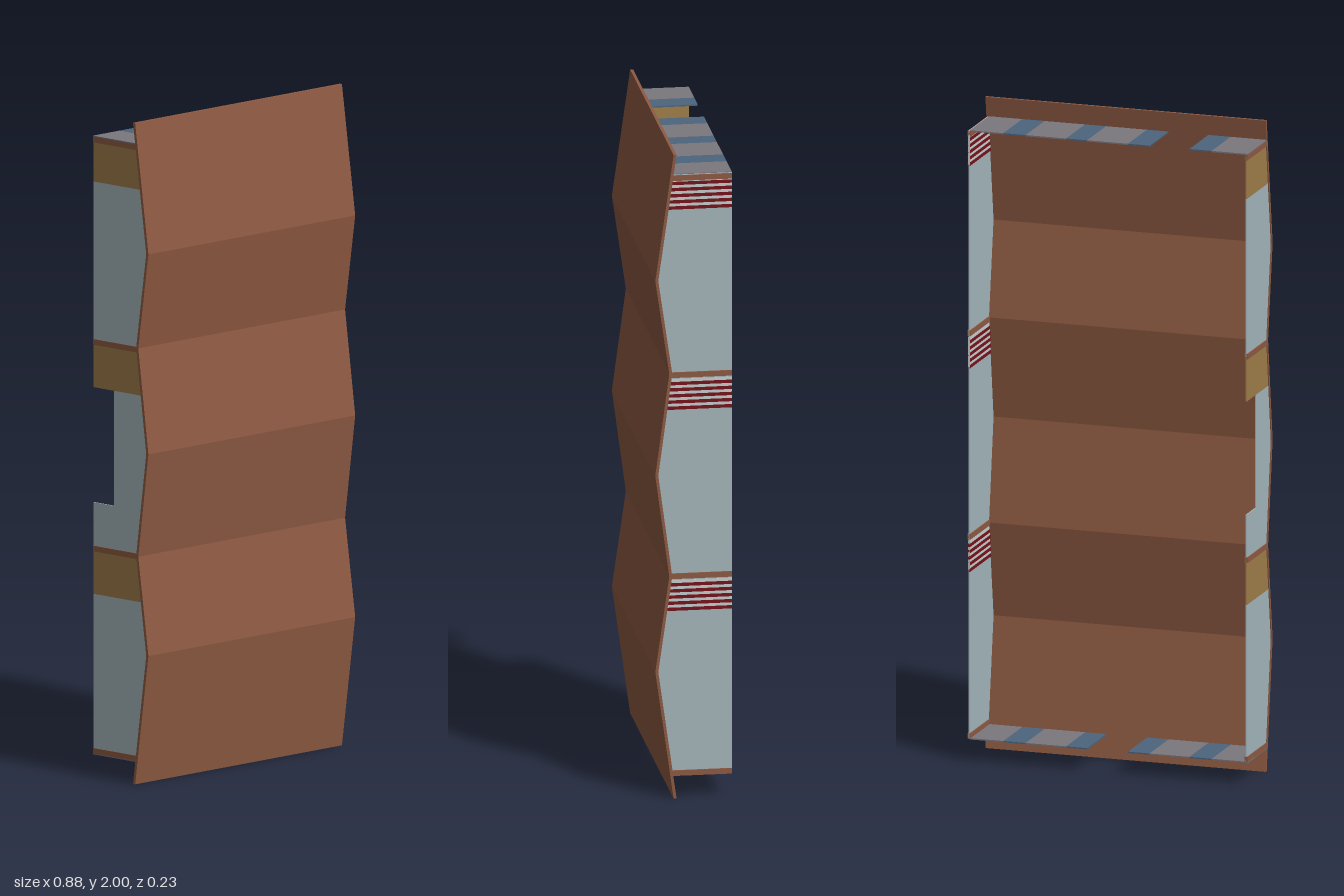
import * as THREE from 'three';

const mat = (name, color, extra = {}) => {
  const m = new THREE.MeshStandardMaterial({ color, ...extra });
  m.name = name;
  return m;
};

// Folded front sheet: [y, z] of its outer face
const FOLDS = [[0, 0.06], [0.395, 0.115], [0.69, 0.073], [1.005, 0.115], [1.32, 0.073], [1.61, 0.115], [2, 0.06]];
const SHEET = 0.009;
const BACK = -0.116;
const HALF = 0.44;
const LEVELS = [0.07, 0.69, 1.315, 1.937]; // ledge heights between the tiers

function sheetZ(y) {
  for (let i = 1; i < FOLDS.length; i++) {
    const [y0, z0] = FOLDS[i - 1], [y1, z1] = FOLDS[i];
    if (y <= y1) return z0 + (z1 - z0) * (y - y0) / (y1 - y0);
  }
  return FOLDS[FOLDS.length - 1][1];
}

// Extrudes a (z, y) outline across x, centred on x
function extrudeAcross(points, x, width) {
  const shape = new THREE.Shape(points.map(([z, y]) => new THREE.Vector2(z, y)));
  const geo = new THREE.ExtrudeGeometry(shape, { depth: width, bevelEnabled: false });
  geo.rotateY(-Math.PI / 2);
  geo.translate(x + width / 2, 0, 0);
  return geo;
}

// Upright plate from zBack to the inside of the folded sheet, between y0 and y1
function sidePlate(y0, y1, x, thickness, zBack = BACK) {
  const ys = [y0, ...FOLDS.map(f => f[0]).filter(y => y > y0 && y < y1), y1];
  const front = ys.map(y => [sheetZ(y) - SHEET, y]);
  return extrudeAcross([[zBack, y1], [zBack, y0], ...front], x, thickness);
}

export function createModel() {
  const group = new THREE.Group();
  const brown = mat('brown', 0x8f5b43);
  const paleBlue = mat('paleBlueGrey', 0xa6b8bd);
  const tan = mat('tan', 0xa27f4b);
  const red = mat('darkRed', 0x76131a);
  const white = mat('offWhite', 0xc9d0d0);
  const grey = mat('mauveGrey', 0x7b777e);
  const blue = mat('slateBlue', 0x4d657e);

  const add = (name, geo, material) => {
    const mesh = new THREE.Mesh(geo, material);
    mesh.name = name;
    group.add(mesh);
  };
  const box = (name, material, x0, x1, y0, y1, z0, z1) => {
    const geo = new THREE.BoxGeometry(x1 - x0, y1 - y0, z1 - z0);
    geo.translate((x0 + x1) / 2, (y0 + y1) / 2, (z0 + z1) / 2);
    add(name, geo, material);
  };

  // Folded front sheet
  const outer = FOLDS.map(([y, z]) => [z, y]);
  const inner = FOLDS.map(([y, z]) => [z - SHEET, y]).reverse();
  add('frontSheet', extrudeAcross([...outer, ...inner], 0, HALF * 2), brown);

  const X = HALF - 0.005;
  for (let i = 0; i < 3; i++) {
    const y0 = LEVELS[i], y1 = LEVELS[i + 1];
    // Left side panel with a striped band at its top
    add('leftPanel', sidePlate(y0, y1, X, 0.004), paleBlue);
    add('leftBand', sidePlate(y1 - 0.104, y1 - 0.012, X, 0.006), white);
    for (let s = 0; s < 5; s++) {
      const y = y1 - 0.026 - s * 0.019;
      add('leftStripe', sidePlate(y - 0.005, y + 0.005, X, 0.008), red);
    }
    // Right side panel with a tan top; the middle one has a cut-out at the back
    const tanBottom = y1 - 0.137;
    if (i === 1) {
      add('rightPanelLower', sidePlate(y0, 0.83, -X, 0.004), paleBlue);
      add('rightPanelNarrow', sidePlate(0.83, tanBottom, -X, 0.004, -0.03), paleBlue);
    } else {
      add('rightPanel', sidePlate(y0, tanBottom, -X, 0.004), paleBlue);
    }
    add('rightTop', sidePlate(tanBottom, y1, -X, 0.004), tan);
  }

  // Thin ledges at each tier, both sides
  LEVELS.forEach((y, i) => {
    const low = i === 0 ? y : i === 3 ? y - 0.018 : y - 0.008;
    for (const side of [-1, 1]) {
      const x = side * X;
      box('ledge', brown, x - 0.005, x + 0.005, low, low + 0.017, BACK, sheetZ(y) - 0.005);
    }
  });

  // Striped top and bottom plates, each with one open gap
  const edges = [-HALF, -0.327, -0.257, -0.132, -0.064, 0.064, 0.13, 0.257, 0.327, 0.432];
  const plates = [['topPlate', LEVELS[3], 2], ['bottomPlate', LEVELS[0], 4]];
  for (const [name, y, gap] of plates) {
    for (let i = 0; i < edges.length - 1; i++) {
      if (i === gap) continue;
      box(name, i % 2 ? blue : grey, edges[i], edges[i + 1], y - 0.002, y + 0.002, BACK, sheetZ(y) - 0.006);
    }
  }

  // Centre on z
  const bounds = new THREE.Box3().setFromObject(group);
  group.position.z = -(bounds.min.z + bounds.max.z) / 2;
  return group;
}
